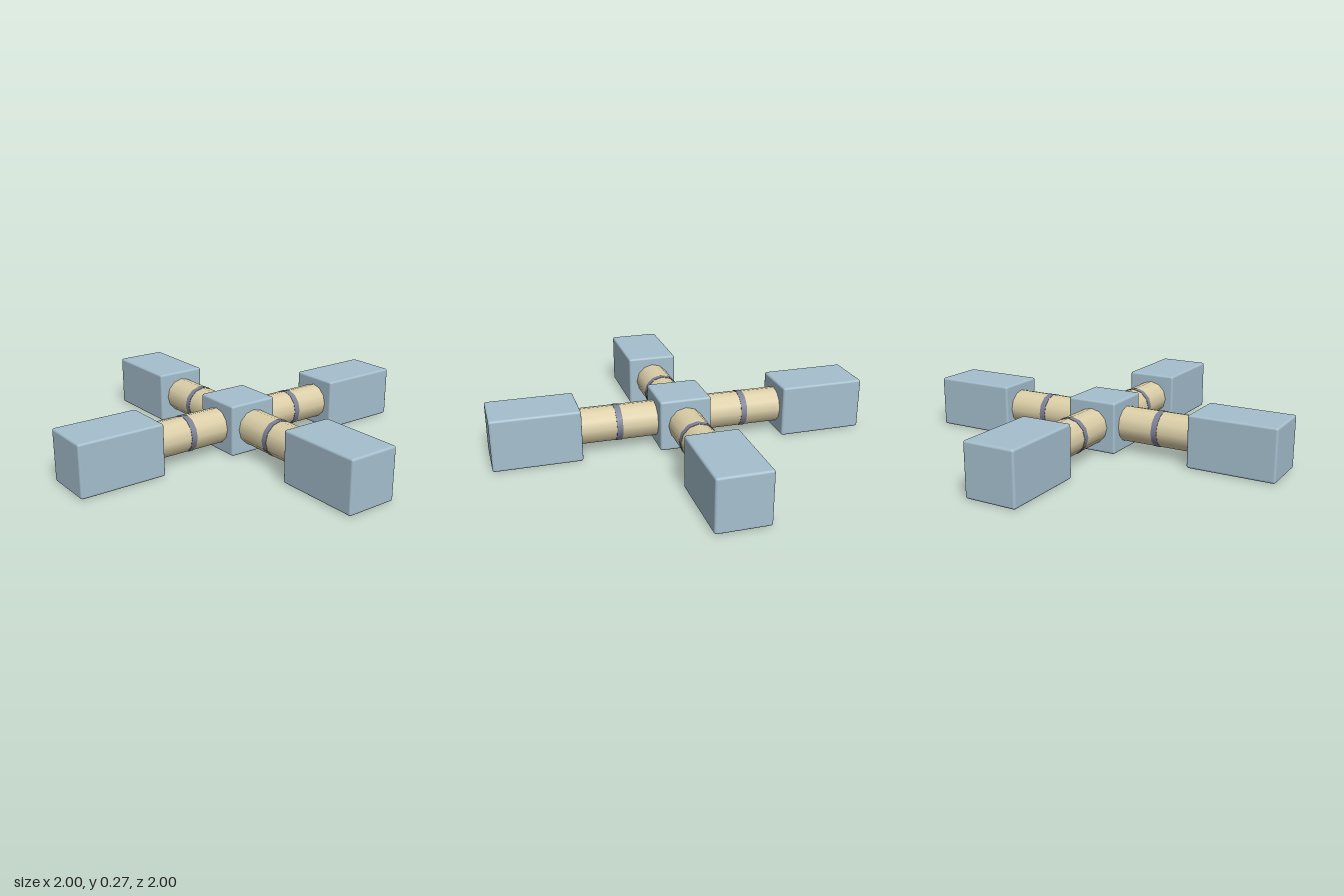
import * as THREE from 'three';
import { RoundedBoxGeometry } from 'three/addons/geometries/RoundedBoxGeometry.js';

const SIZE = 0.274;      // width and height of the blocks
const BLOCK = 0.456;     // length of the end blocks
const CENTER_Y = SIZE / 2;

function material(name, color) {
  const m = new THREE.MeshStandardMaterial({ color });
  m.name = name;
  return m;
}

export function createModel() {
  const blue = material('pale blue', 0xa5bfce);
  const cream = material('cream', 0xdccfa8);
  const grey = material('slate grey', 0x7e8296);

  const model = new THREE.Group();
  model.name = 'crossConnector';

  const add = (parent, name, geometry, mat, x = 0) => {
    const mesh = new THREE.Mesh(geometry, mat);
    mesh.name = name;
    mesh.position.x = x;
    parent.add(mesh);
    return mesh;
  };

  // Central hub
  add(model, 'hub', new RoundedBoxGeometry(SIZE, SIZE, SIZE, 2, 0.012), blue).position.y = CENTER_Y;

  // Shared arm parts, laid along +x
  const blockGeometry = new RoundedBoxGeometry(BLOCK, SIZE, SIZE, 2, 0.012);
  const tubeGeometry = new THREE.CylinderGeometry(0.094, 0.094, 0.43, 12).rotateZ(Math.PI / 2);
  const ringGeometry = new THREE.CylinderGeometry(0.096, 0.096, 0.032, 12).rotateZ(Math.PI / 2);

  // Four arms, a quarter turn apart
  ['leftArm', 'backArm', 'rightArm', 'frontArm'].forEach((name, i) => {
    const arm = new THREE.Group();
    arm.name = name;
    arm.position.y = CENTER_Y;
    arm.rotation.y = i * Math.PI / 2;
    add(arm, 'tube', tubeGeometry, cream, 0.34);
    add(arm, 'ring', ringGeometry, grey, 0.34);
    add(arm, 'endBlock', blockGeometry, blue, 1 - BLOCK / 2);
    model.add(arm);
  });

  return model;
}
